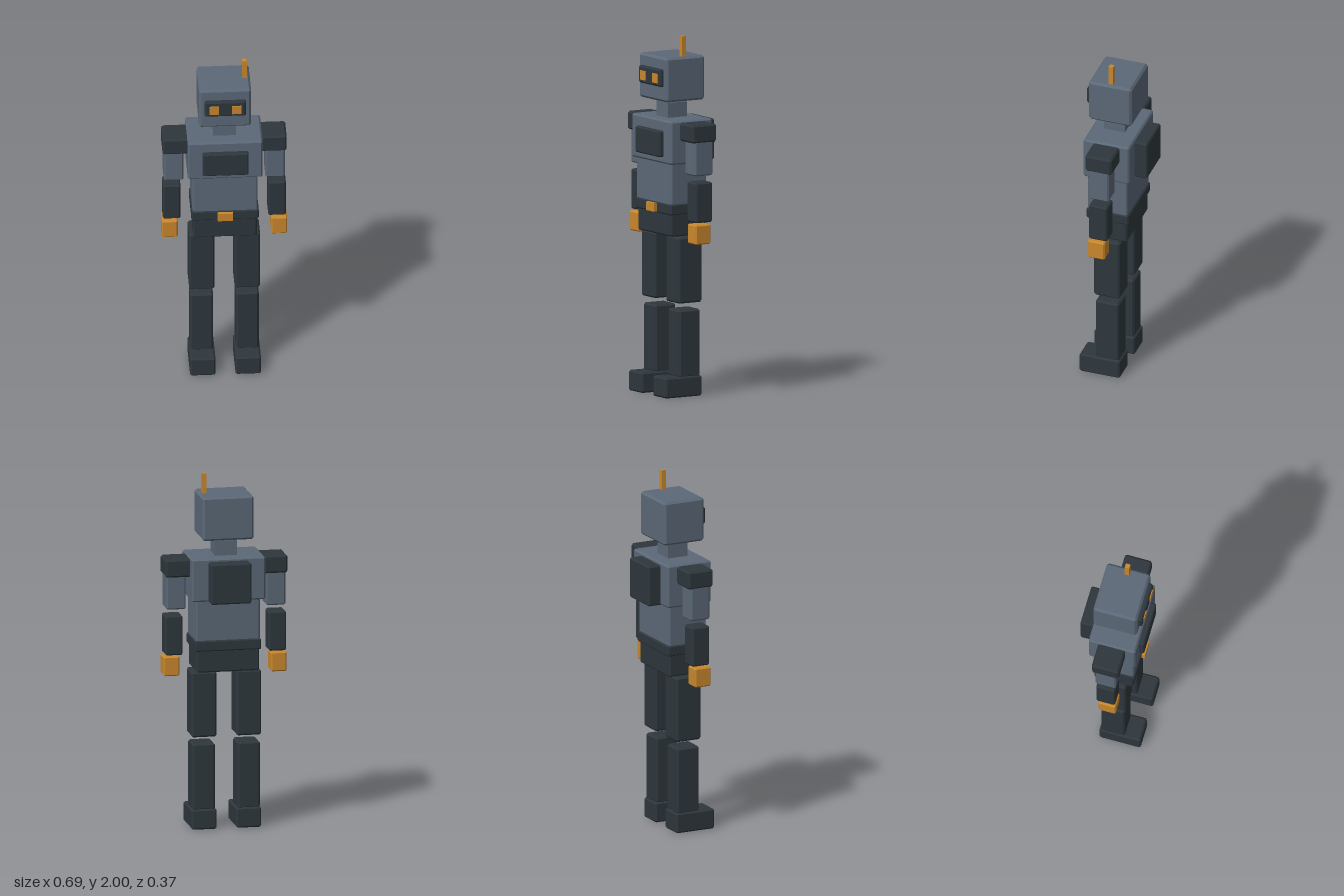
import * as THREE from 'three';
import { ConvexGeometry } from 'three/addons/geometries/ConvexGeometry.js';

const material = (name, color) => {
  const m = new THREE.MeshStandardMaterial({ color });
  m.name = name;
  return m;
};

// Box with flat 45 degree chamfers on every edge
function chamferBox(w, h, d, b) {
  const pts = [];
  for (const x of [-1, 1]) for (const y of [-1, 1]) for (const z of [-1, 1]) {
    for (const [cx, cy, cz] of [[0, b, b], [b, 0, b], [b, b, 0]]) {
      pts.push(new THREE.Vector3(x * (w / 2 - cx), y * (h / 2 - cy), z * (d / 2 - cz)));
    }
  }
  return new ConvexGeometry(pts);
}

export function createModel() {
  const steel = material('steel', 0x5b6877);
  const dark = material('charcoal', 0x2e373d);
  const amber = material('amber', 0xc9872c);
  const robot = new THREE.Group();
  robot.name = 'robot';

  // Place a block by its extents on each axis; bevel 0 gives a plain box
  function block(name, mat, [x0, x1], [y0, y1], [z0, z1], bevel = 0.01) {
    const size = [x1 - x0, y1 - y0, z1 - z0];
    const geo = bevel ? chamferBox(...size, bevel) : new THREE.BoxGeometry(...size);
    const mesh = new THREE.Mesh(geo, mat);
    mesh.name = name;
    mesh.position.set((x0 + x1) / 2, (y0 + y1) / 2, (z0 + z1) / 2);
    robot.add(mesh);
  }
  const wide = (half) => [-half, half];

  // Head
  block('head', steel, wide(0.144), [1.64, 1.887], [-0.103, 0.147], 0.012);
  block('visor', dark, wide(0.114), [1.725, 1.822], [0.12, 0.169], 0.008);
  block('antenna', amber, [0.1, 0.126], [1.88, 2], [0.009, 0.035], 0);
  block('neck', steel, wide(0.062), [1.53, 1.625], [-0.037, 0.085], 0);

  // Torso
  block('chest', steel, wide(0.207), [1.3, 1.542], [-0.112, 0.156], 0.009);
  block('chestPanel', dark, wide(0.127), [1.337, 1.482], [0.14, 0.184], 0.007);
  block('backpack', dark, wide(0.114), [1.297, 1.525], [-0.185, -0.1], 0.008);
  block('abdomen', steel, wide(0.18), [1.06, 1.31], [-0.092, 0.14], 0.008);
  block('belt', dark, wide(0.186), [1.016, 1.077], [-0.1, 0.146], 0.007);
  block('buckle', amber, wide(0.042), [1.022, 1.07], [0.138, 0.165], 0);
  block('pelvis', dark, wide(0.176), [0.895, 1.022], [-0.088, 0.135], 0.008);

  // Mirrored parts
  for (const [side, s] of [['left', 1], ['right', -1]]) {
    const pair = (name, mat, [inner, outer], y, z, bevel) =>
      block(side + name, mat, s > 0 ? [inner, outer] : [-outer, -inner], y, z, bevel);

    pair('Eye', amber, [0.037, 0.088], [1.744, 1.796], [0.166, 0.174], 0);

    // Arm
    pair('Shoulder', dark, [0.19, 0.343], [1.432, 1.533], [-0.056, 0.099]);
    pair('UpperArm', steel, [0.226, 0.335], [1.247, 1.445], [-0.036, 0.081], 0.008);
    pair('Forearm', dark, [0.242, 0.34], [0.987, 1.21], [-0.03, 0.077], 0.008);
    pair('Hand', amber, [0.258, 0.346], [0.867, 0.977], [-0.016, 0.083], 0.007);

    // Leg
    pair('Thigh', dark, [0.055, 0.196], [0.522, 0.891], [-0.053, 0.099]);
    pair('Shin', dark, [0.063, 0.19], [0.107, 0.484], [-0.045, 0.091]);
    pair('Foot', dark, [0.055, 0.196], [0, 0.114], [-0.053, 0.183], 0.009);
  }
  return robot;
}
